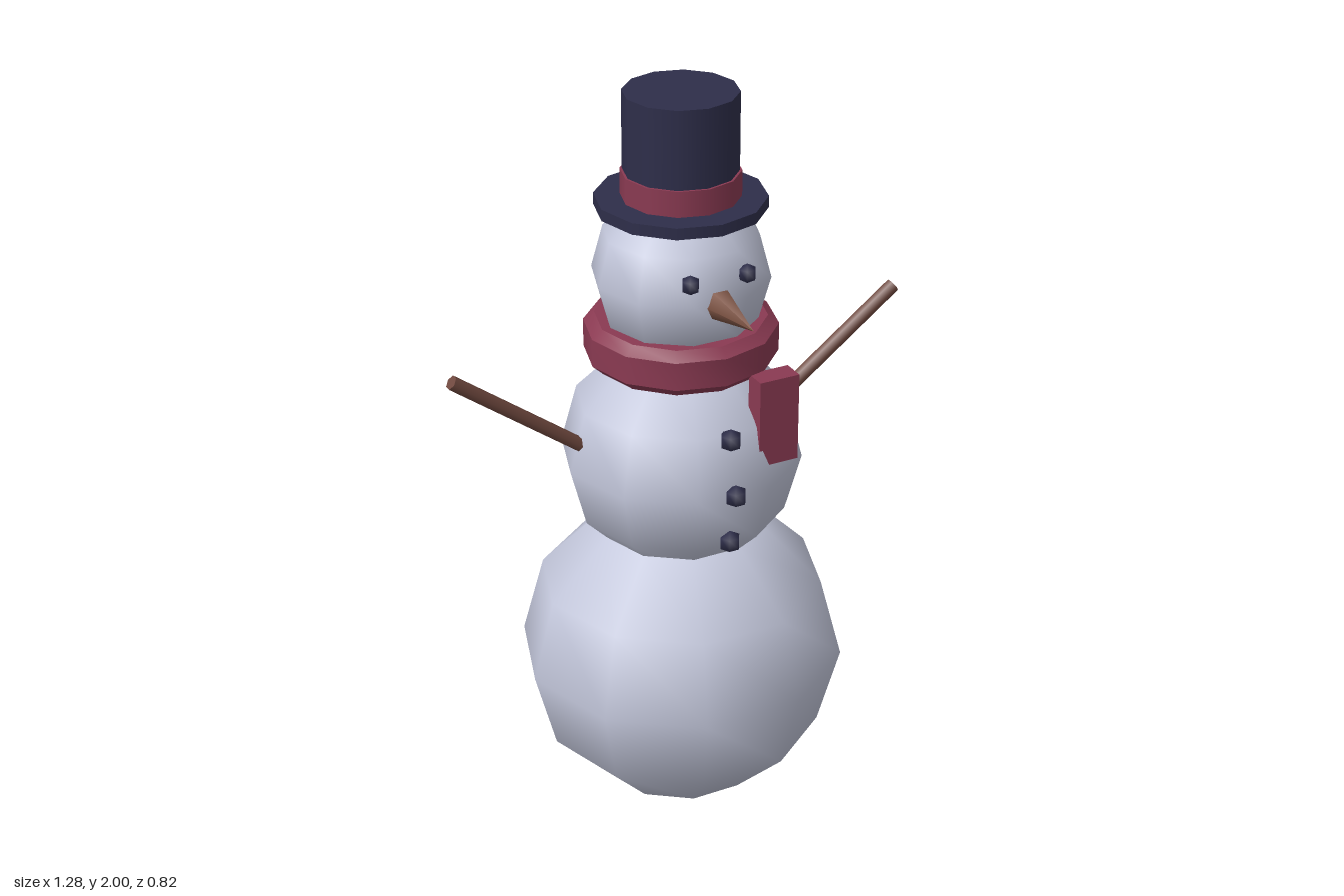
import * as THREE from 'three';
import { toCreasedNormals } from 'three/addons/utils/BufferGeometryUtils.js';

function material(name, color) {
  const m = new THREE.MeshStandardMaterial({ color });
  m.name = name;
  return m;
}

export function createModel() {
  const snow = material('snow', 0xc3c7db);
  const navy = material('navy', 0x2e2e4a);
  const red = material('red wool', 0x8a3a52);
  const wood = material('wood', 0x70493f);
  const carrot = material('carrot', 0x7d5343);

  const model = new THREE.Group();
  model.name = 'snowman';

  function add(name, geometry, mat, x = 0, y = 0, z = 0) {
    const mesh = new THREE.Mesh(geometry, mat);
    mesh.name = name;
    mesh.position.set(x, y, z);
    model.add(mesh);
    return mesh;
  }

  // Three stacked snowballs
  for (const [name, r, y] of [['lowerBody', 0.432, 0.435], ['upperBody', 0.315, 1.025], ['head', 0.228, 1.523]]) {
    add(name, new THREE.SphereGeometry(r, 10, 6), snow, 0, y);
  }

  // Top hat: brim, band and crown
  const disc = (r, bottom, top, name, mat) =>
    add(name, new THREE.CylinderGeometry(r, r, top - bottom, 12), mat, 0, (bottom + top) / 2);
  disc(0.217, 1.7, 1.73, 'hatBrim', navy);
  disc(0.151, 1.73, 1.797, 'hatBand', red);
  disc(0.145, 1.73, 2, 'hatCrown', navy);

  // Bevelled scarf ring and its hanging tail
  const profile = [
    [0.16, 1.286], [0.22, 1.286], [0.248, 1.312], [0.248, 1.386],
    [0.22, 1.408], [0.16, 1.408], [0.16, 1.286],
  ].map(([x, y]) => new THREE.Vector2(x, y));
  add('scarfRing', toCreasedNormals(new THREE.LatheGeometry(profile, 12), 0.6), red);
  add('scarfTail', new THREE.BoxGeometry(0.11, 0.235, 0.06), red, 0.135, 1.195, 0.245);

  // Carrot nose
  const nose = add('nose', new THREE.ConeGeometry(0.042, 0.18, 6), carrot, 0, 1.517, 0.29);
  nose.rotation.set(Math.PI / 2, Math.PI / 6, 0);

  // Coal buttons
  const coal = (r) => new THREE.SphereGeometry(r, 6, 3);
  for (const [y, z] of [[1.172, 0.272], [1.028, 0.302], [0.882, 0.272]]) {
    add('button', coal(0.031), navy, 0, y, z);
  }

  // Paired eyes and stick arms
  for (const side of [-1, 1]) {
    const label = side > 0 ? 'left' : 'right';
    add(label + 'Eye', coal(0.026), navy, side * 0.078, 1.582, 0.203);

    const start = new THREE.Vector3(side * 0.23, 1.06, 0);
    const end = new THREE.Vector3(side * 0.628, 1.355, 0);
    const along = end.clone().sub(start);
    const arm = add(label + 'Arm', new THREE.CylinderGeometry(0.019, 0.019, along.length(), 6), wood);
    arm.position.copy(start).add(end).multiplyScalar(0.5);
    arm.rotation.z = Math.atan2(-along.x, along.y);
  }

  return model;
}
